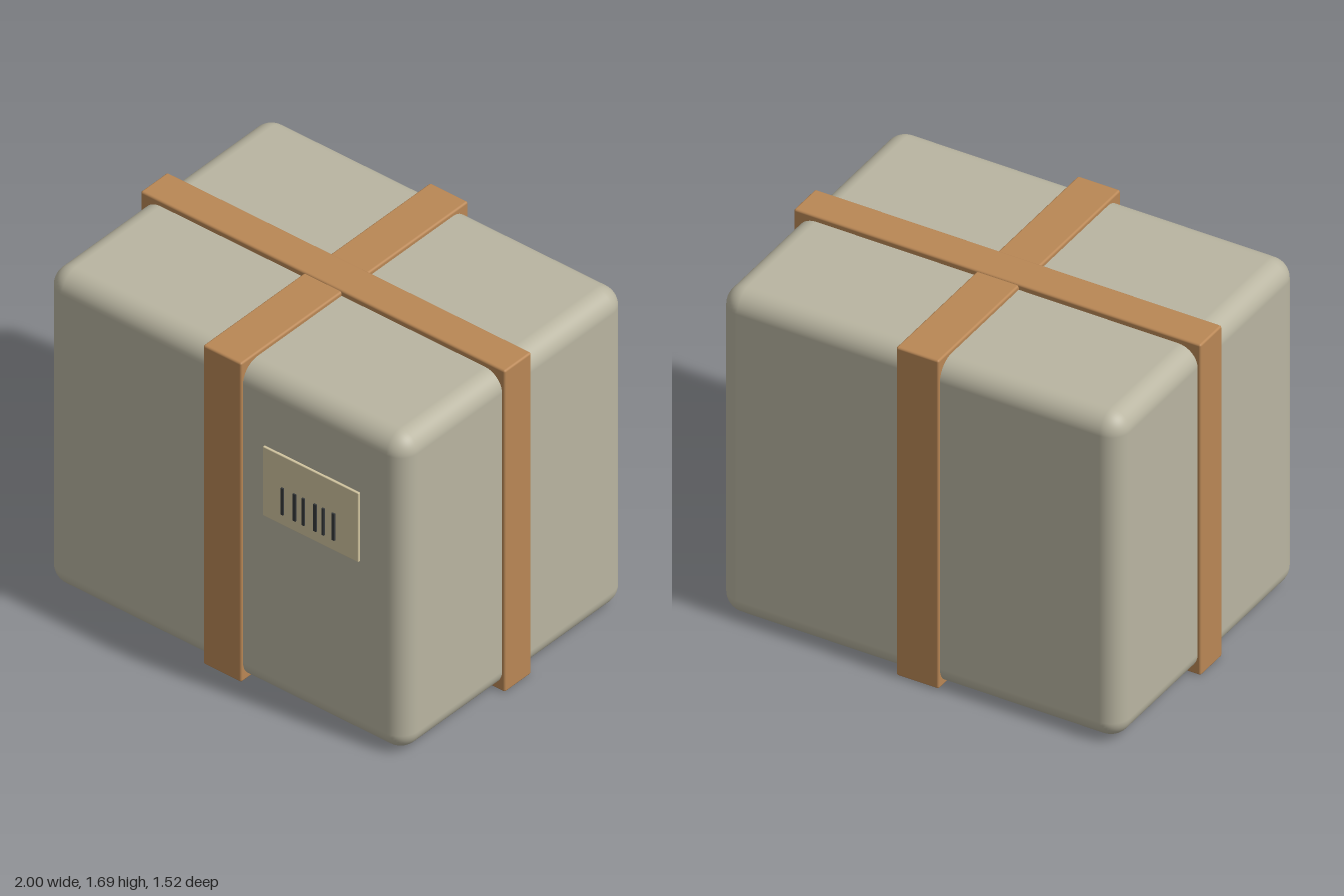
import * as THREE from 'three';
import { RoundedBoxGeometry } from 'three/addons/geometries/RoundedBoxGeometry.js';

// Rounded block given by its minimum and maximum corners.
function block(name, min, max, radius, segments, material) {
  const size = max.map((v, i) => v - min[i]);
  const mesh = new THREE.Mesh(new RoundedBoxGeometry(...size, segments, radius), material);
  mesh.position.set(...max.map((v, i) => (v + min[i]) / 2));
  mesh.name = name;
  return mesh;
}

export function createModel() {
  const model = new THREE.Group();
  model.name = 'parcel';
  const paper = new THREE.MeshStandardMaterial({ color: 0xb9b5a1 });
  const tape = new THREE.MeshStandardMaterial({ color: 0xb98755 });
  const card = new THREE.MeshStandardMaterial({ color: 0xd2c5a0 });
  const ink = new THREE.MeshStandardMaterial({ color: 0x35383a });

  // Soft-edged parcel body
  model.add(block('parcelBody', [-0.985, 0.01, -0.75], [0.985, 1.66, 0.728], 0.095, 6, paper));

  // Two crossing straps
  model.add(block('sideStrap', [-1, 0, -0.1], [1, 1.687, 0.077], 0.01, 2, tape));
  model.add(block('frontStrap', [-0.106, 0.005, -0.76], [0.104, 1.68, 0.74], 0.01, 2, tape));

  // Address label with upright bars on the front
  model.add(block('label', [0.23, 0.95, 0.736], [0.755, 1.312, 0.75], 0.004, 2, card));
  const bars = new THREE.Group();
  bars.name = 'labelBars';
  const barList = [[0.343, 0.013], [0.41, 0.015], [0.458, 0.013], [0.523, 0.016], [0.567, 0.013], [0.623, 0.016]];
  for (const [x, w] of barList) {
    const bar = new THREE.Mesh(new THREE.BoxGeometry(w, 0.14, 0.008), ink);
    bar.position.set(x, 1.08, 0.756);
    bar.name = 'labelBar';
    bars.add(bar);
  }
  model.add(bars);
  return model;
}
